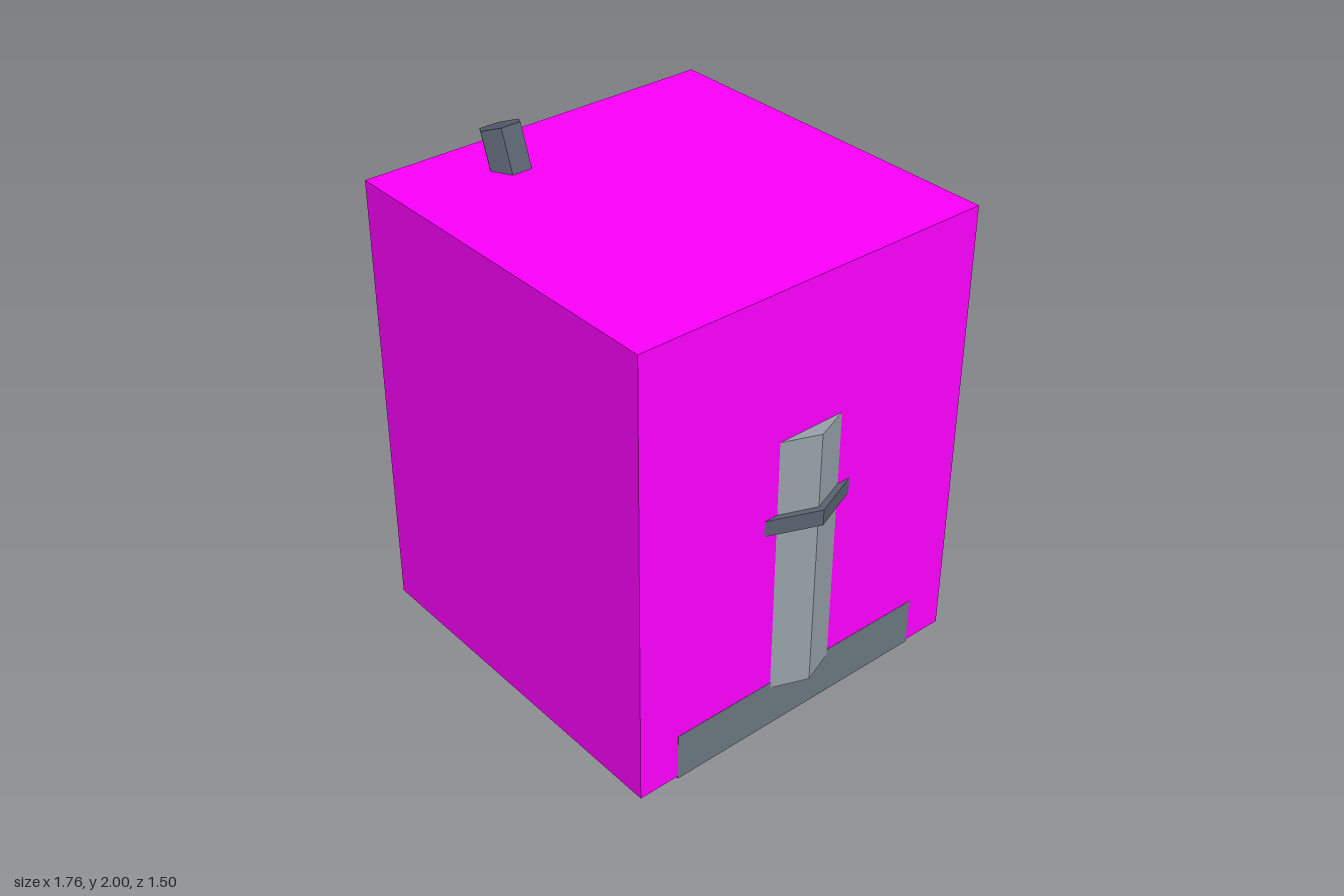
import * as THREE from 'three';

const paint = (color) => new THREE.MeshStandardMaterial({ color, flatShading: true });

export function createModel() {
  const group = new THREE.Group();
  const magenta = paint(0xff00ff);
  const steel = paint(0x97a2a8);
  const darkSteel = paint(0x59636f);
  const slate = paint(0x6b7880);

  const add = (name, geometry, material, x = 0, y = 0, z = 0) => {
    const mesh = new THREE.Mesh(geometry, material);
    mesh.name = name;
    mesh.position.set(x, y, z);
    group.add(mesh);
    return mesh;
  };

  // Upright prism from half an outline of [x, z] points, mirrored in z
  const prism = (name, half, y0, y1, material) => {
    const mirrored = half.filter((p) => p[1] > 0).map(([x, z]) => [x, -z]).reverse();
    const shape = new THREE.Shape([...half, ...mirrored].map(([x, z]) => new THREE.Vector2(x, z)));
    const geometry = new THREE.ExtrudeGeometry(shape, { depth: y1 - y0, bevelEnabled: false });
    geometry.rotateX(-Math.PI / 2);
    add(name, geometry, material, 0, y0);
  };

  // Main block and the narrower base plinth showing through its sides
  add('body', new THREE.BoxGeometry(1.5, 1.83, 1.5), magenta, 0.05, 0.925);
  add('base', new THREE.BoxGeometry(1.502, 0.2, 1.16), slate, 0.05, 0.1);

  // Wide bay on the right side with two bands
  prism('rightBay', [[-0.65, 0.37], [-0.7, 0.37], [-0.86, 0.16]], 0.175, 1.59, steel);
  for (const y of [0.475, 1.057]) {
    prism('rightBand', [[-0.65, 0.41], [-0.7, 0.41], [-0.885, 0.167]], y, y + 0.065, darkSteel);
  }

  // Narrow ridge on the left side with one band
  prism('leftRidge', [[0.855, 0], [0.8, 0.143], [0.75, 0.143]], 0.175, 1.255, steel);
  prism('leftBand', [[0.88, 0], [0.8, 0.2], [0.75, 0.2]], 0.89, 0.955, darkSteel);

  // Tilted six-sided stub on the roof
  const tilt = 0.349, length = 0.36;
  const stub = add('roofStub', new THREE.CylinderGeometry(0.083, 0.083, length, 6), darkSteel,
    -0.526 + Math.sin(tilt) * length / 2, 1.975 - Math.cos(tilt) * length / 2, 0.29);
  stub.rotation.z = tilt;

  return group;
}
